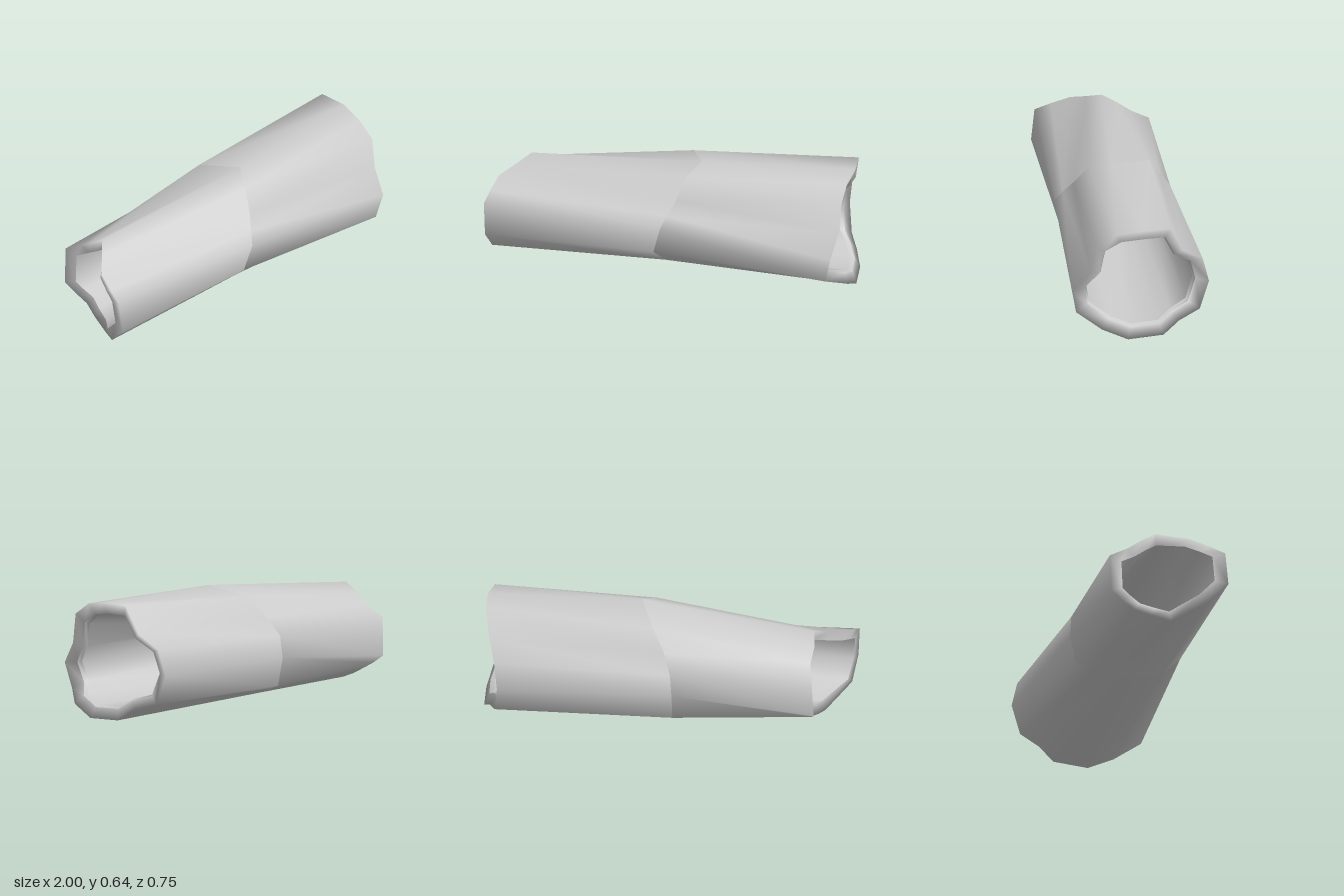
import * as THREE from 'three';

// Cross-sections as [x, y, z], running from the top round by the front
const RIGHT = [
  [0.98, 0.638, 0], [0.96, 0.615, 0.14], [0.95, 0.547, 0.25], [0.94, 0.385, 0.28], [0.91, 0.265, 0.375],
  [0.88, 0.125, 0.35], [0.98, 0.062, 0.225], [1, 0.002, 0.085], [0.985, 0.008, -0.11], [0.95, 0.07, -0.2],
  [0.9, 0.108, -0.32], [0.88, 0.262, -0.373], [0.9, 0.405, -0.337], [0.94, 0.485, -0.225], [0.97, 0.637, -0.155],
];
const MIDDLE = [
  [0.15, 0.64, 0.05], [0.08, 0.59, 0.16], [0.04, 0.48, 0.24], [0, 0.41, 0.29], [-0.03, 0.35, 0.33],
  [-0.07, 0.2, 0.305], [-0.02, 0.115, 0.215], [-0.1, 0.032, -0.01], [-0.1, 0.045, -0.1], [-0.09, 0.075, -0.18],
  [-0.06, 0.105, -0.275], [-0.06, 0.26, -0.31], [-0.05, 0.38, -0.3], [-0.01, 0.48, -0.235], [0.06, 0.595, -0.17],
];
const LEFT = [
  [-0.8, 0.568, -0.04], [-0.87, 0.53, 0.03], [-0.95, 0.49, 0.11], [-0.98, 0.445, 0.21], [-1, 0.405, 0.295],
  [-0.99, 0.23, 0.315], [-0.97, 0.12, 0.21], [-0.85, 0.037, 0.035], [-0.825, 0.07, -0.07], [-0.8, 0.105, -0.157],
  [-0.815, 0.145, -0.23], [-0.83, 0.19, -0.295], [-0.82, 0.4, -0.3], [-0.8, 0.46, -0.2], [-0.81, 0.515, -0.12],
];

// Shrink a ring about its axis and slide it along x
const inset = (ring, scale, dx = 0, cy = 0.31) =>
  ring.map(([x, y, z]) => [x + dx, cy + (y - cy) * scale, z * scale]);

// Smooth skin through closed rings
function loft(name, rings, material) {
  const n = rings[0].length;
  const index = [];
  for (let i = 0; i < rings.length - 1; i++) {
    for (let j = 0; j < n; j++) {
      const k = (j + 1) % n;
      const a = i * n + j, b = a + n, c = i * n + k, d = c + n;
      index.push(a, b, c, c, b, d);
    }
  }
  const geometry = new THREE.BufferGeometry();
  geometry.setAttribute('position', new THREE.Float32BufferAttribute(rings.flat(2), 3));
  geometry.setIndex(index);
  geometry.computeVertexNormals();
  const mesh = new THREE.Mesh(geometry, material);
  mesh.name = name;
  return mesh;
}

export function createModel() {
  const group = new THREE.Group();
  group.name = 'hollowLog';
  const material = new THREE.MeshStandardMaterial({ color: 0xcccccc, side: THREE.DoubleSide });

  const rightRim = inset(RIGHT, 0.81, -0.025);
  const rightLip = inset(RIGHT, 0.78, -0.05);
  const leftRim = inset(LEFT, 0.77, 0.015);
  const hollowMiddle = inset(MIDDLE, 0.79);

  group.add(
    // Outer bark halves, each with its rim
    loft('rightBark', [rightRim, RIGHT, MIDDLE], material),
    loft('leftBark', [MIDDLE, LEFT, leftRim], material),
    // Small step inside the wide opening, then the hollow
    loft('innerLip', [rightLip, rightRim], material),
    loft('hollow', [leftRim, hollowMiddle, rightLip], material),
  );
  return group;
}
